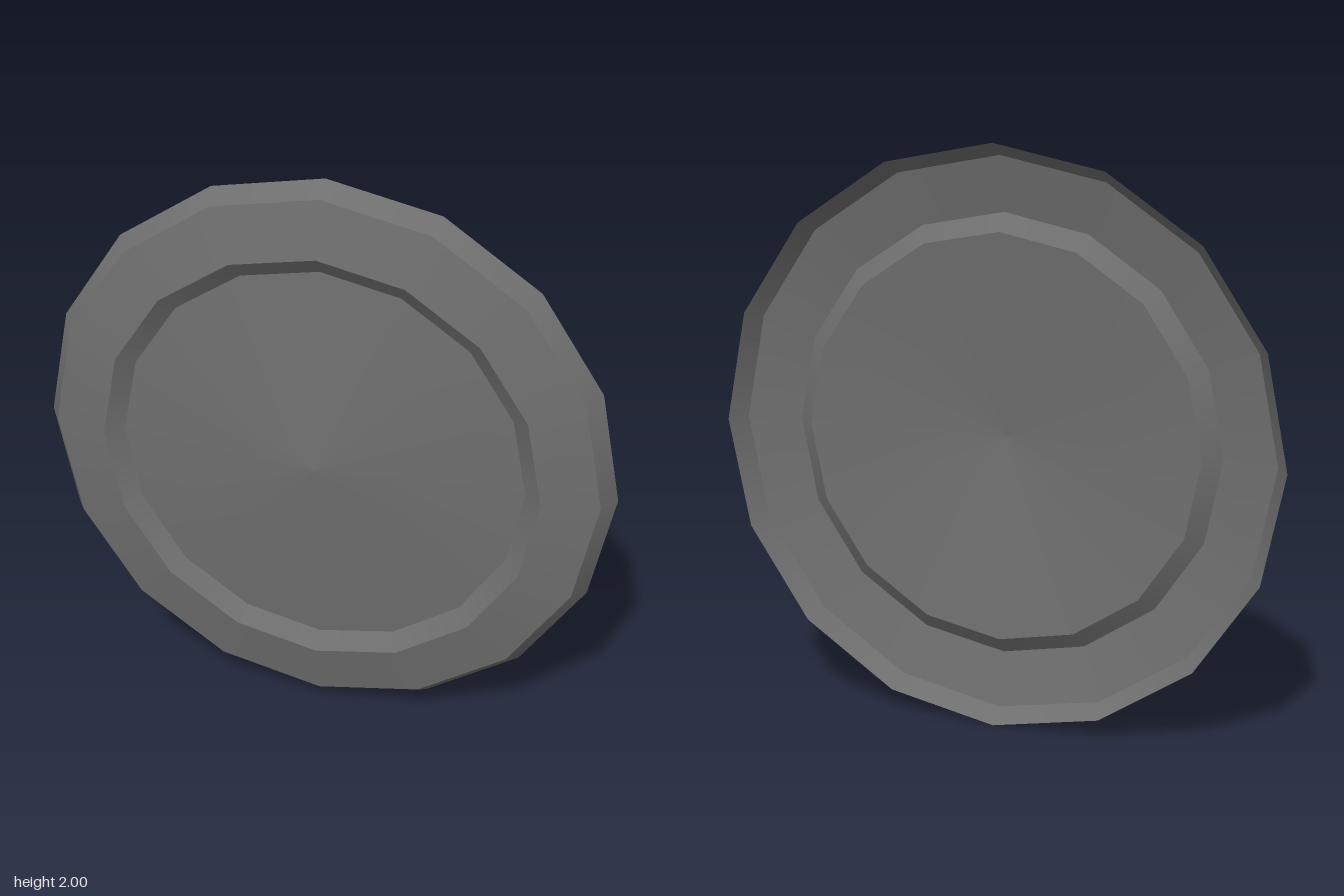
import * as THREE from 'three';

export function createModel() {
  const group = new THREE.Group();
  group.name = 'plate';
  const grey = new THREE.MeshStandardMaterial({ color: 0x6e6e6e, side: THREE.DoubleSide });
  grey.name = 'darkGrey';

  // Thin open shell: [radius, depth] from the back rim to the domed centre
  const profile = [[1, -0.064], [0.955, 0], [0.765, 0.04], [0.705, -0.005], [0, 0.063]];
  const names = ['outerBevel', 'rimRing', 'recessWall', 'centreDisc'];

  // One 16-sided band per part: smooth around, sharp edges between bands
  names.forEach((name, i) => {
    const points = [profile[i], profile[i + 1]].map(([r, z]) => new THREE.Vector2(r, z));
    const geometry = new THREE.LatheGeometry(points, 16);
    geometry.rotateX(Math.PI / 2);
    geometry.translate(0, 1, 0);
    const mesh = new THREE.Mesh(geometry, grey);
    mesh.name = name;
    group.add(mesh);
  });
  return group;
}
